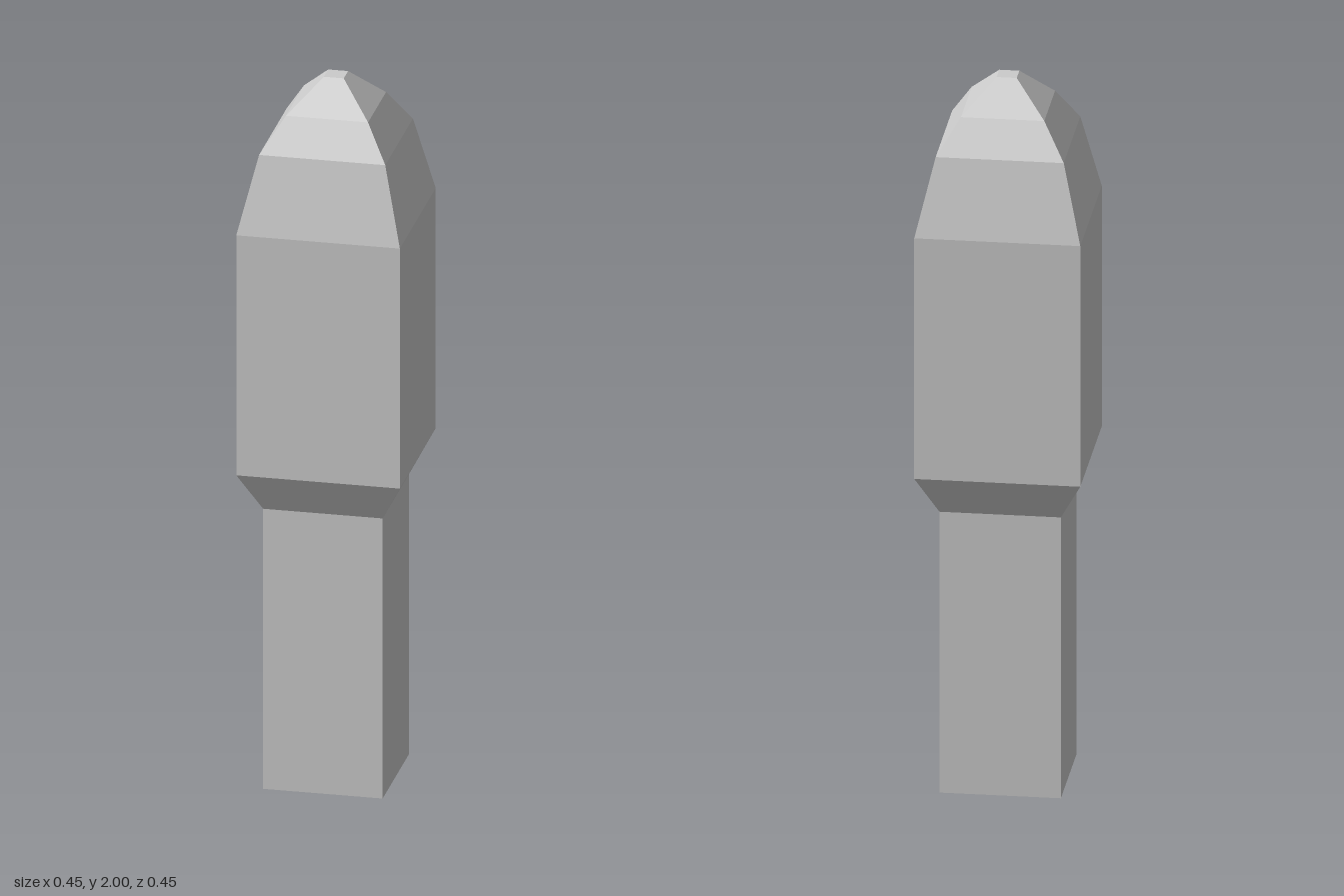
import * as THREE from 'three';

const material = new THREE.MeshStandardMaterial({ color: 0xcccccc, flatShading: true });

// Square-section solid from [half width, height] pairs, listed bottom to top
function squareLathe(name, profile) {
  const points = profile.map(([half, y]) => new THREE.Vector2(half * Math.SQRT2, y));
  const mesh = new THREE.Mesh(new THREE.LatheGeometry(points, 4, Math.PI / 4), material);
  mesh.name = name;
  return mesh;
}

export function createModel() {
  const group = new THREE.Group();
  group.name = 'squarePost';

  // Straight lower post, closed underneath
  group.add(squareLathe('shaft', [[0, 0], [0.163, 0], [0.163, 0.803]]));

  // Flared collar below the wider body
  group.add(squareLathe('collar', [[0.163, 0.803], [0.223, 0.917]]));

  // Wide straight body
  group.add(squareLathe('body', [[0.223, 0.917], [0.223, 1.605]]));

  // Faceted tapering tip with a small flat top
  group.add(squareLathe('tip', [
    [0.223, 1.605], [0.172, 1.82], [0.112, 1.914], [0.027, 2], [0, 2],
  ]));

  return group;
}
